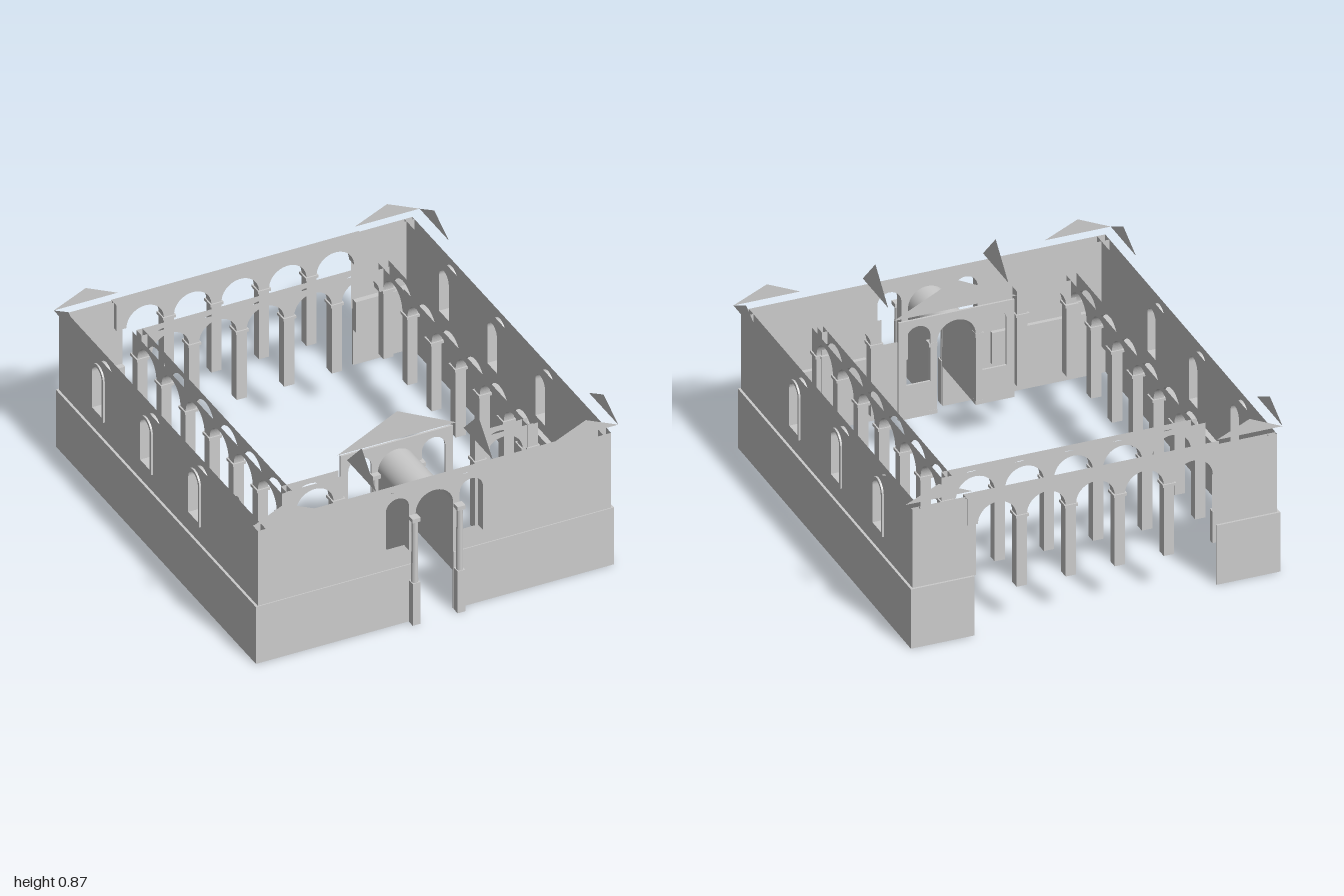
import * as THREE from 'three';

const grey = new THREE.MeshStandardMaterial({ color: 0xcccccc, flatShading: true });
const thin = new THREE.MeshStandardMaterial({ color: 0xcccccc, side: THREE.DoubleSide });
const SPRING = 0.56, FLOOR = 0.2, PITCH = 0.235, WALL_TOP = 0.695;

export function createModel() {
  const model = new THREE.Group();
  const court = new THREE.Group();
  court.name = 'courtyard';
  court.position.x = -0.0075;
  model.add(court);

  const add = (name, geo, mat = grey) => {
    const mesh = new THREE.Mesh(geo, mat);
    mesh.name = name;
    court.add(mesh);
    return mesh;
  };
  // box given by its limits on each axis
  const box = (name, x0, x1, y0, y1, z0, z1) => {
    const mesh = add(name, new THREE.BoxGeometry(Math.abs(x1 - x0), y1 - y0, z1 - z0));
    mesh.position.set((x0 + x1) / 2, (y0 + y1) / 2, (z0 + z1) / 2);
    return mesh;
  };
  // the same box, hollow and without its underside
  const hollowBox = (...limits) => {
    const mesh = box(...limits);
    const index = [...mesh.geometry.index.array];
    index.splice(18, 6);
    mesh.geometry.setIndex(index);
    mesh.material = thin;
  };

  // closed outline of a round-headed opening
  const archPath = (x0, x1, y0, top, Type = THREE.Path) => {
    const r = (x1 - x0) / 2, p = new Type();
    p.moveTo(x0, y0).lineTo(x1, y0).lineTo(x1, top - r);
    p.absarc((x0 + x1) / 2, top - r, r, 0, Math.PI, false);
    p.lineTo(x0, y0);
    return p;
  };
  const extrude = (shape, depth) =>
    new THREE.ExtrudeGeometry(shape, { depth, bevelEnabled: false, curveSegments: 16 });

  // hollow wall: two faces and the reveals, without level strips at the given heights
  const hollowWall = (name, shape, depth, openAt) => {
    const geo = extrude(shape, depth), p = geo.attributes.position, keep = [];
    for (let i = 0; i < p.count; i += 3) {
      const level = openAt.some(h => [0, 1, 2].every(k => Math.abs(p.getY(i + k) - h) < 1e-5));
      if (!level) for (let k = 0; k < 3; k++) keep.push(p.getX(i + k), p.getY(i + k), p.getZ(i + k));
    }
    const out = new THREE.BufferGeometry(), faces = geo.groups[0].count;
    out.setAttribute('position', new THREE.Float32BufferAttribute(keep, 3));
    out.computeVertexNormals();
    out.addGroup(0, faces, 0);
    out.addGroup(faces, keep.length / 3 - faces, 1);
    return add(name, out, [thin, grey]);
  };

  // flat wall sheet, seen from both sides
  const sheet = (name, x0, x1, y0, y1, holes = []) => {
    const s = new THREE.Shape([[x0, y0], [x1, y0], [x1, y1], [x0, y1]]
      .map(([x, y]) => new THREE.Vector2(x, y)));
    s.holes.push(...holes);
    return add(name, new THREE.ShapeGeometry(s, 16), thin);
  };

  // upper and lower outer walls, with the inner plinth
  const windows = [-0.6, -0.13, 0.34];
  for (const s of [-1, 1]) {
    for (const x of [0.873, 0.834]) {
      const holes = windows.map(z => archPath(-z - 0.047, -z + 0.047, 0.41, 0.645));
      const wall = sheet('upperSideWall', -0.955, 0.985, 0.3, WALL_TOP, holes);
      wall.rotation.y = Math.PI / 2;
      wall.position.x = s * x;
    }
    // window surrounds
    for (const z of windows) {
      const frame = archPath(-0.06, 0.06, 0.39, 0.66, THREE.Shape);
      frame.holes.push(archPath(-0.047, 0.047, 0.41, 0.645));
      const surround = add('windowSurround', extrude(frame, 0.048));
      surround.rotation.y = Math.PI / 2;
      surround.position.set(s > 0 ? 0.834 : -0.882, 0, z);
    }
    hollowBox('lowerSideWall', s * 0.873, s * 0.885, 0, 0.3, -0.995, 0.96);
    hollowBox('lowerFrontWall', s * 0.0925, s * 0.885, 0, 0.3, 0.95, 0.96);
    hollowBox('lowerBackWall', s * 0.58, s * 0.885, 0, 0.3, -0.995, -0.985);
    hollowBox('innerSidePlinth', s * 0.808, s * 0.834, FLOOR, 0.36, -0.97, 0.9);
    hollowBox('innerFrontPlinth', s * 0.3, s * 0.834, FLOOR, 0.36, 0.88, 0.9);
    hollowBox('innerBackPlinth', s * 0.57, s * 0.834, FLOOR, 0.36, -0.97, -0.94);
    for (const z of [-0.985, -0.967])
      sheet('upperBackWall', s > 0 ? 0.57 : -0.873, s > 0 ? 0.873 : -0.57, 0.3, WALL_TOP).position.z = z;
  }

  // facade with an arched doorway cut from its foot and a window on each side
  const facade = (name, half, y0, z, depth, openAt) => {
    const r = 0.0925, s = new THREE.Shape();
    s.moveTo(-half, y0).lineTo(-r, y0).lineTo(-r, SPRING);
    s.absarc(0, SPRING, r, Math.PI, 0, true);
    s.lineTo(r, y0).lineTo(half, y0).lineTo(half, WALL_TOP).lineTo(-half, WALL_TOP).lineTo(-half, y0);
    for (const c of [-0.1825, 0.1825]) s.holes.push(archPath(c - 0.0575, c + 0.0575, 0.37, 0.66));
    hollowWall(name, s, depth, openAt).position.z = z;
  };
  facade('upperFrontWall', 0.873, 0.3, 0.905, 0.05, [0.3, 0.37, WALL_TOP]);
  facade('porchInnerWall', 0.2775, FLOOR, 0.577, 0.01, [FLOOR]);

  // entrance columns: pedestal, round shaft, capital
  for (const s of [-1, 1]) for (const [z, foot] of [[0.981, 0], [0.595, FLOOR]]) {
    const x = s * 0.111;
    hollowBox('entrancePedestal', x - 0.019, x + 0.019, foot, 0.22, z - 0.019, z + 0.019);
    const shaft = add('entranceShaft', new THREE.CylinderGeometry(0.014, 0.016, 0.32, 12));
    shaft.position.set(x, 0.38, z);
    box('entranceCapital', x - 0.02, x + 0.02, 0.54, SPRING, z - 0.019, z + 0.019);
  }

  // vaulted passage behind the doorway
  const vault = add('barrelVault',
    new THREE.CylinderGeometry(0.0925, 0.0925, 0.37, 24, 1, true, Math.PI / 2, Math.PI), thin);
  vault.rotation.x = Math.PI / 2;
  vault.position.set(0, SPRING, 0.77);
  for (const s of [-1, 1]) {
    const side = add('passageWall', new THREE.PlaneGeometry(0.37, SPRING - FLOOR), thin);
    side.rotation.y = Math.PI / 2;
    side.position.set(s * 0.0925, (SPRING + FLOOR) / 2, 0.77);
  }

  // arcade wall: a row of n arches starting at u, open along its top
  const arcade = (name, u, n, top) => {
    const s = new THREE.Shape(), r = 0.0925, e = 0.025, end = u + n * PITCH;
    s.moveTo(u - e, SPRING);
    for (let i = 0; i < n; i++) {
      const c = u + (i + 0.5) * PITCH;
      s.lineTo(c - r, SPRING);
      s.absarc(c, SPRING, r, Math.PI, 0, true);
    }
    s.lineTo(end + e, SPRING).lineTo(end + e, top).lineTo(u - e, top).lineTo(u - e, SPRING);
    const mesh = hollowWall(name, s, 0.05, [top]);
    mesh.geometry.translate(0, 0, -0.025);
    return mesh;
  };
  const column = (x, z) => {
    hollowBox('arcadeColumn', x - 0.025, x + 0.025, FLOOR, 0.55, z - 0.025, z + 0.025);
    box('arcadeCapital', x - 0.032, x + 0.032, 0.55, 0.563, z - 0.032, z + 0.032);
  };

  // back arcade in the outer wall and the back row of the court
  arcade('outerBackArcade', -2.5 * PITCH, 5, WALL_TOP).position.z = -0.967;
  arcade('courtBackArcade', -2.5 * PITCH, 5, 0.68).position.z = -0.72;
  for (const k of [-1.5, -0.5, 0.5, 1.5]) {
    column(k * PITCH, -0.967);
    column(k * PITCH, -0.72);
  }
  // side rows and short front rows of the court
  for (const s of [-1, 1]) {
    const row = arcade('courtSideArcade', -0.69, 6, 0.68);
    row.rotation.y = Math.PI / 2;
    row.position.x = s * 0.608;
    for (let i = 0; i <= 6; i++) column(s * 0.608, -0.72 + i * PITCH);
    arcade('courtFrontArcade', s > 0 ? 0.35 : -0.35 - PITCH, 1, 0.68).position.z = 0.685;
    column(s * 0.35, 0.685);
    column(s * 0.585, 0.68);
  }

  // free-standing gable triangles above the corners and the porch
  const gable = (name, a, b, base, apex, alongZ, offset) => {
    const s = new THREE.Shape();
    s.moveTo(a, base).lineTo(b, base).lineTo((a + b) / 2, apex).lineTo(a, base);
    const mesh = add(name, new THREE.ShapeGeometry(s), thin);
    if (alongZ) {
      mesh.rotation.y = -Math.PI / 2;
      mesh.position.x = offset;
    } else mesh.position.z = offset;
  };
  for (const s of [-1, 1]) {
    const [x0, x1] = s > 0 ? [0.587, 0.908] : [-0.9, -0.584];
    for (const [z0, z1, face] of [[0.67, 0.956, 0.956], [-0.985, -0.698, -0.985]]) {
      gable('cornerSideGable', z0, z1, 0.728, 0.803, true, s > 0 ? x1 : x0);
      gable('cornerEndGable', x0, x1, 0.728, 0.8, false, face);
    }
    gable('porchSideGable', 0.67, 0.956, 0.728, 0.874, true, s * 0.288);
  }
  gable('porchGable', -0.293, 0.296, 0.706, 0.852, false, 0.587);

  return model;
}
